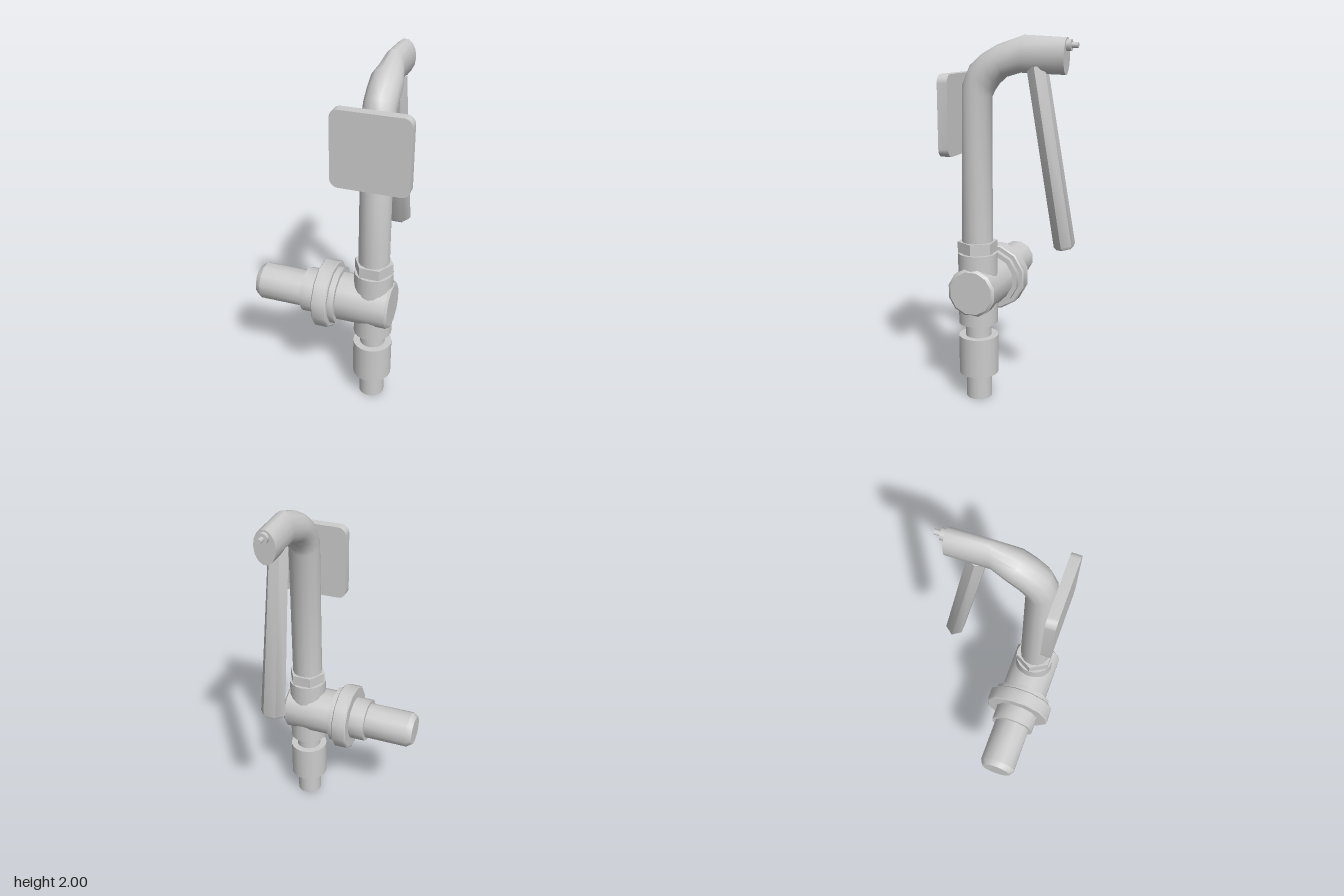
import * as THREE from 'three';
import { toCreasedNormals } from 'three/addons/utils/BufferGeometryUtils.js';

const CX = 0.235, CZ = 0.18, AXIS_Y = 0.635;
const material = new THREE.MeshStandardMaterial({ color: 0xcccccc });

function add(group, name, geometry) {
  const mesh = new THREE.Mesh(geometry, material);
  mesh.name = name;
  group.add(mesh);
  return mesh;
}

// Upright cylinder on the riser axis
function upright(group, name, y0, y1, r, sides = 20) {
  const mesh = add(group, name, new THREE.CylinderGeometry(r, r, y1 - y0, sides));
  mesh.position.set(CX, (y0 + y1) / 2, CZ);
  return mesh;
}

// Sideways cylinder between x0 and x1, with an optional taper
function sideways(group, name, x0, x1, r0, r1 = r0) {
  const geometry = new THREE.CylinderGeometry(r1, r0, x1 - x0, 12);
  geometry.rotateY(Math.PI / 12);
  geometry.rotateZ(-Math.PI / 2);
  const mesh = add(group, name, toCreasedNormals(geometry, 0.6));
  mesh.position.set((x0 + x1) / 2, AXIS_Y, CZ);
}

// Capped loft of ellipses; each ring is [outer z, outer y, inner z, inner y, half width]
function loft(rings, sides) {
  const pos = [], index = [];
  for (const [oz, oy, iz, iy, w] of rings) {
    for (let j = 0; j < sides; j++) {
      const a = (j / sides) * Math.PI * 2, s = Math.sin(a) / 2;
      pos.push(CX + w * Math.cos(a), (oy + iy) / 2 + (oy - iy) * s, (oz + iz) / 2 + (oz - iz) * s);
    }
  }
  for (let i = 0; i < rings.length - 1; i++) {
    for (let j = 0; j < sides; j++) {
      const k = (j + 1) % sides;
      const a = i * sides + j, b = i * sides + k, c = a + sides, d = b + sides;
      index.push(a, d, b, a, c, d);
    }
  }
  const last = (rings.length - 1) * sides;
  for (let j = 1; j < sides - 1; j++) {
    index.push(0, j, j + 1, last, last + j + 1, last + j);
  }
  const geometry = new THREE.BufferGeometry();
  geometry.setAttribute('position', new THREE.Float32BufferAttribute(pos, 3));
  geometry.setIndex(index);
  return toCreasedNormals(geometry, 0.7);
}

export function createModel() {
  const model = new THREE.Group();
  model.name = 'flushValve';

  // Lower pipe, coupling and tee
  upright(model, 'bottomPipe', 0, 0.145, 0.072);
  upright(model, 'coupling', 0.145, 0.365, 0.11);
  upright(model, 'neck', 0.365, 0.44, 0.072);
  upright(model, 'teeBody', 0.44, 0.84, 0.108);
  upright(model, 'teeCollar', 0.84, 0.85, 0.09);
  const nut = upright(model, 'hexNut', 0.845, 0.905, 0.109, 6);
  nut.geometry = toCreasedNormals(nut.geometry, 0.6);
  nut.rotation.y = Math.PI / 2;

  // Side inlet, from its outer end to the far side of the tee
  sideways(model, 'inletTip', -0.445, -0.415, 0.085, 0.105);
  sideways(model, 'inletPipe', -0.415, -0.16, 0.105);
  sideways(model, 'inletSleeve', -0.16, -0.07, 0.127);
  sideways(model, 'flangeBevelOuter', -0.07, -0.064, 0.186, 0.194);
  sideways(model, 'flange', -0.064, 0.01, 0.194);
  sideways(model, 'flangeBevelInner', 0.01, 0.016, 0.194, 0.186);
  sideways(model, 'flangeStep', 0.016, 0.05, 0.164);
  sideways(model, 'inletBody', 0.05, 0.335, 0.137);
  sideways(model, 'inletEnd', 0.335, 0.347, 0.137, 0.122);

  // Riser bending backward into the narrow head
  add(model, 'riserAndSpout', loft([
    [0.265, 0.9, 0.095, 0.9, 0.087],
    [0.25, 1.74, 0.092, 1.68, 0.087],
    [0.205, 1.845, 0.075, 1.715, 0.087],
    [0.135, 1.905, 0.05, 1.75, 0.087],
    [0.05, 1.952, 0.01, 1.785, 0.087],
    [-0.093, 2.0, -0.07, 1.808, 0.06],
    [-0.315, 1.988, -0.31, 1.8, 0.06],
  ], 14));

  // Six-sided lever, drawn from its bevelled lower end upward
  const lever = [[0, 0.8, 0.056], [0.018, 1, 0.072], [0.95, 1, 0.055]].map(([d, s, w]) => {
    const z = -0.315 + 0.166 * d, y = 0.905 + 0.986 * d;
    const nz = 0.055 * s, ny = -0.0092 * s;
    return [z + nz, y + ny, z - nz, y - ny, w];
  });
  add(model, 'lever', loft(lever, 6));

  // Small screw on the end of the head
  for (const [name, r, z0, z1] of [['screwWasher', 0.03, -0.30, -0.338], ['screwPin', 0.014, -0.338, -0.372]]) {
    const geometry = new THREE.CylinderGeometry(r, r, z0 - z1, 10);
    geometry.rotateX(Math.PI / 2);
    add(model, name, geometry).position.set(CX, 1.948, (z0 + z1) / 2);
  }

  // Rounded square plate on the front
  const h = 0.21, r = 0.045, q = Math.PI / 2;
  const shape = new THREE.Shape();
  [[1, 1], [-1, 1], [-1, -1], [1, -1]].forEach(([sx, sy], i) => {
    shape.absarc(sx * (h - r), sy * (h - r), r, i * q, (i + 1) * q, false);
  });
  const plate = new THREE.ExtrudeGeometry(shape, { depth: 0.055, bevelEnabled: false, curveSegments: 4 });
  add(model, 'frontPlate', toCreasedNormals(plate, 0.6)).position.set(CX, 1.595, 0.248);

  return model;
}
